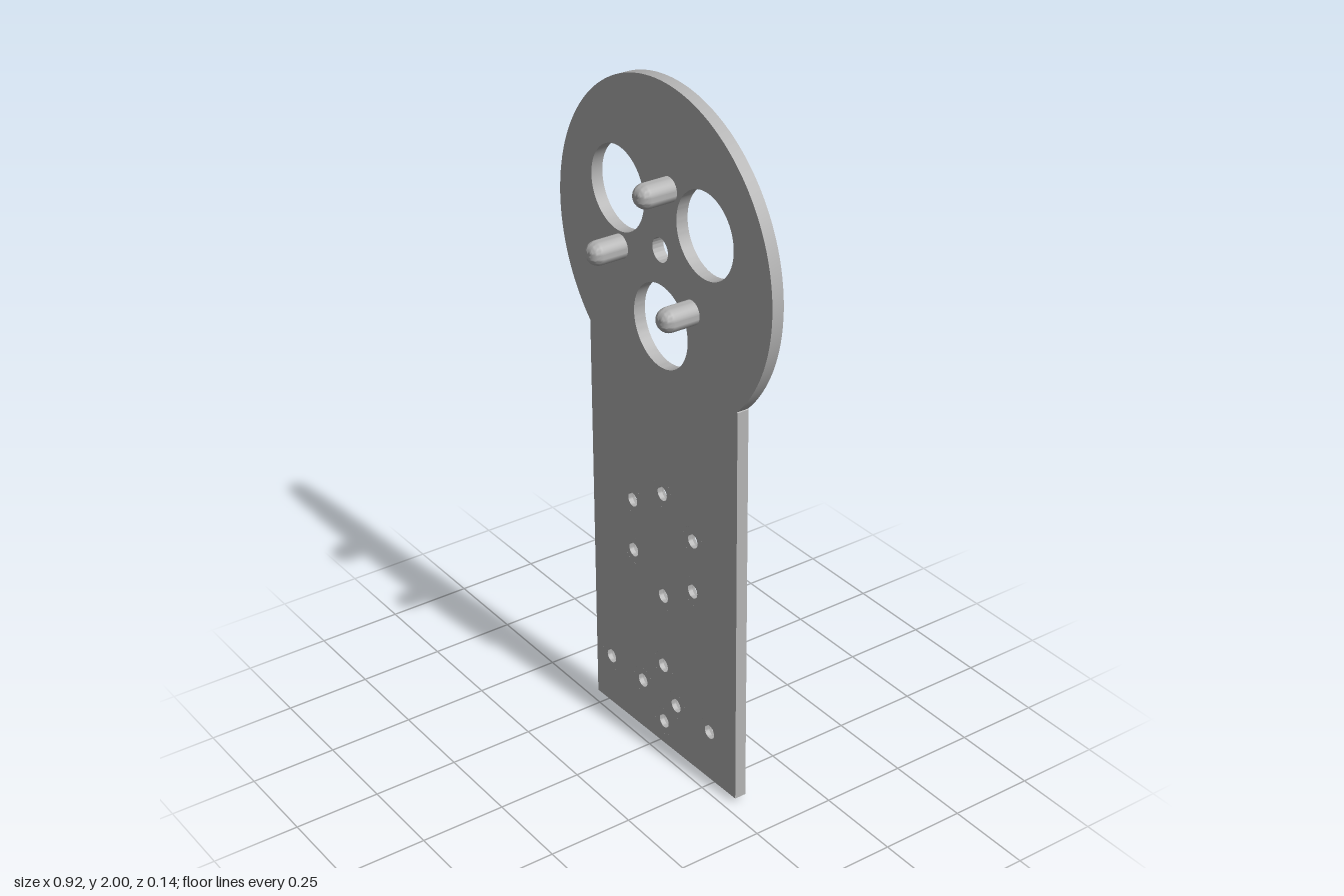
import * as THREE from 'three';
import { toCreasedNormals } from 'three/addons/utils/BufferGeometryUtils.js';

const BACK = -0.067, FRONT = -0.032;
const SCREW_R = 0.021, SINK_R = 0.042;

// round openings in the head: x, y, radius
const headHoles = [
  [-0.193, 1.645, 0.119], [0.185, 1.65, 0.119], [0, 1.323, 0.119],
  [-0.003, 1.54, 0.034],
];
// countersunk screw holes: x, y
const screwHoles = [
  [0.011, 0.823], [-0.127, 0.738], [0.151, 0.743], [-0.122, 0.579],
  [0.153, 0.585], [0.019, 0.5], [0.021, 0.27], [-0.233, 0.161],
  [-0.077, 0.164], [0.082, 0.167], [0.238, 0.169], [0.026, 0.082],
];
// pegs on the front: x, y
const pegs = [[0.034, 1.722], [-0.18, 1.484], [0.135, 1.418]];

// turn a profile of [radius, z] points around the z axis
function turned(profile, segments) {
  const points = profile.map(([r, z]) => new THREE.Vector2(r, z));
  const geometry = new THREE.LatheGeometry(points, segments).rotateX(Math.PI / 2);
  return toCreasedNormals(geometry, 0.5);
}

export function createModel() {
  const model = new THREE.Group();
  model.name = 'pegPlate';
  const grey = new THREE.MeshStandardMaterial({ color: 0xb3b3b3, side: THREE.DoubleSide });
  grey.name = 'grey';

  const add = (name, geometry, x = 0, y = 0) => {
    const mesh = new THREE.Mesh(geometry, grey);
    mesh.name = name;
    mesh.position.set(x, y, 0);
    model.add(mesh);
  };

  // plate: round head on a straight, slightly turned arm
  const cy = 1.538, radius = 0.462;
  const shape = new THREE.Shape();
  shape.moveTo(-0.304, 0);
  shape.lineTo(0.36, 0.016);
  shape.lineTo(0.333, 1.214);
  shape.absarc(0, cy, radius, Math.atan2(1.214 - cy, 0.333),
    Math.PI * 2 + Math.atan2(1.209 - cy, -0.325), false);
  shape.closePath();
  const cut = (x, y, r) => {
    const hole = new THREE.Path();
    hole.absarc(x, y, r, 0, Math.PI * 2, true);
    shape.holes.push(hole);
  };
  headHoles.forEach(([x, y, r]) => cut(x, y, r));
  screwHoles.forEach(([x, y]) => cut(x, y, SINK_R));
  const plate = new THREE.ExtrudeGeometry(shape, {
    depth: FRONT - BACK, bevelEnabled: false, curveSegments: 48,
  });
  plate.translate(0, 0, BACK);
  add('plate', toCreasedNormals(plate, 0.5));

  // countersinks: narrow at the front, flaring towards the back
  const sink = turned([
    [SINK_R, BACK], [SCREW_R, BACK + 0.021], [SCREW_R, FRONT], [SINK_R, FRONT],
  ], 48);
  screwHoles.forEach(([x, y]) => add('countersink', sink, x, y));

  // pegs with domed tips
  const pegR = 0.034, tip = 0.074;
  const profile = [[pegR, FRONT - 0.005]];
  for (let i = 0; i <= 10; i++) {
    const a = (i / 10) * Math.PI / 2;
    profile.push([pegR * Math.cos(a), tip - pegR + pegR * Math.sin(a)]);
  }
  const peg = turned(profile, 32);
  pegs.forEach(([x, y]) => add('peg', peg, x, y));

  // the plate leans back very slightly
  model.rotation.x = -0.002;
  return model;
}
